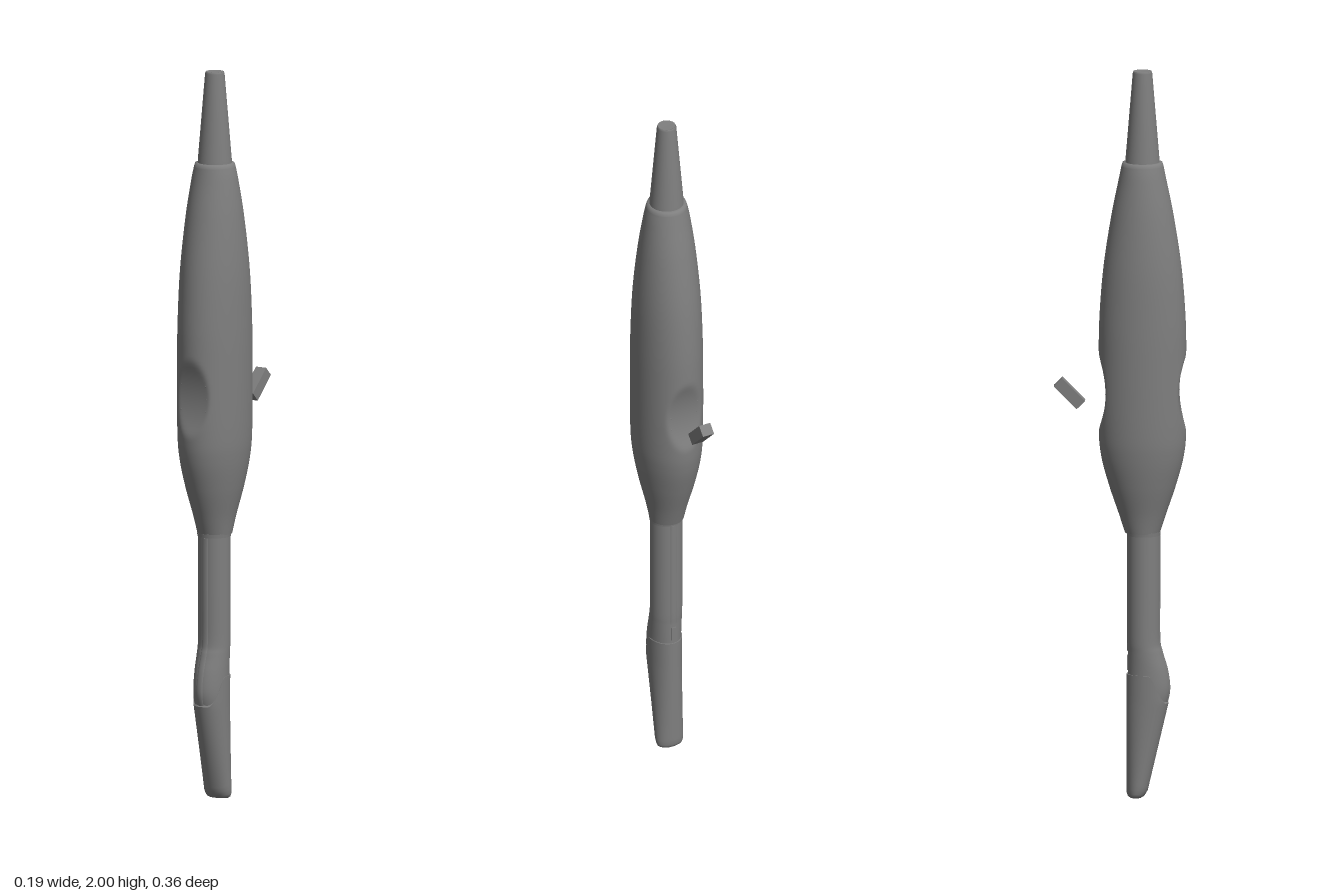
import * as THREE from 'three';

const material = new THREE.MeshStandardMaterial({ color: 0x7f7f7f, side: THREE.DoubleSide });
const AXIS_Z = 0.063;

function add(group, name, geometry, x = 0, y = 0, z = 0) {
  const mesh = new THREE.Mesh(geometry, material);
  mesh.name = name;
  mesh.position.set(x, y, z);
  group.add(mesh);
  return mesh;
}

// Skin elliptical rings [y, halfWidth, halfDepth, centreZ]; reshape(v, angle) may move each vertex.
function loft(rings, sides = 48, reshape = null) {
  const pos = [], index = [];
  const v = new THREE.Vector3();
  const ring = ([y, rx, rz, cz]) => {
    for (let i = 0; i < sides; i++) {
      const a = (i / sides) * Math.PI * 2;
      v.set(Math.sin(a) * rx, y, cz + Math.cos(a) * rz);
      if (reshape) reshape(v, a);
      pos.push(v.x, v.y, v.z);
    }
  };
  rings.forEach(ring);
  for (let r = 0; r < rings.length - 1; r++) {
    for (let i = 0; i < sides; i++) {
      const a = r * sides + i, b = r * sides + ((i + 1) % sides);
      index.push(a, b, b + sides, a, b + sides, a + sides);
    }
  }
  // flat end caps with their own vertices
  [[rings[0], false], [rings[rings.length - 1], true]].forEach(([end, top]) => {
    const base = pos.length / 3;
    ring(end);
    pos.push(0, end[0], end[3]);
    for (let i = 0; i < sides; i++) {
      const a = base + i, b = base + ((i + 1) % sides), c = base + sides;
      if (top) index.push(a, b, c);
      else index.push(b, a, c);
    }
  });
  const geo = new THREE.BufferGeometry();
  geo.setAttribute('position', new THREE.Float32BufferAttribute(pos, 3));
  geo.setIndex(index);
  geo.computeVertexNormals();
  return geo;
}

// Smooth a short list of rings into many
function smoothRings(keys, count) {
  const widths = new THREE.SplineCurve(keys.map(k => new THREE.Vector2(k[0], k[1])));
  const depths = new THREE.SplineCurve(keys.map(k => new THREE.Vector2(k[0], k[2])));
  const centres = new THREE.SplineCurve(keys.map(k => new THREE.Vector2(k[0], k[3])));
  return Array.from({ length: count + 1 }, (_, i) => {
    const t = i / count, w = widths.getPoint(t);
    return [w.x, w.y, depths.getPoint(t).y, centres.getPoint(t).y];
  });
}

export function createModel() {
  const group = new THREE.Group();

  // Handle: oval body with a softly rimmed finger rest front and back
  const BODY_Z = 0.06, REST_Y = 1.115, RIM = 0.005;
  const bodyKeys = [
    [0.73, 0.047, 0.048, BODY_Z], [0.78, 0.056, 0.064, BODY_Z], [0.86, 0.074, 0.091, BODY_Z],
    [0.94, 0.087, 0.112, BODY_Z], [1.02, 0.092, 0.119, BODY_Z], [1.2, 0.093, 0.119, BODY_Z],
    [1.32, 0.092, 0.117, BODY_Z], [1.46, 0.088, 0.106, BODY_Z], [1.6, 0.077, 0.085, BODY_Z],
    [1.7, 0.064, 0.065, BODY_Z], [1.74, 0.056, 0.057, BODY_Z]
  ];
  const restDepth = y => 0.099 + 0.021 * ((y - REST_Y) / 0.105) ** 2;
  const scoop = v => {
    const d = v.z - BODY_Z, rest = restDepth(v.y);
    const blend = Math.max(RIM - Math.abs(Math.abs(d) - rest), 0) ** 2 / (4 * RIM);
    v.z = BODY_Z + Math.sign(d) * (Math.min(Math.abs(d), rest) - blend);
  };
  const bodyRings = smoothRings(bodyKeys, 130);
  bodyRings.push([1.749, 0.053, 0.054, BODY_Z], [1.75, 0.046, 0.047, BODY_Z]);
  add(group, 'handleBody', loft(bodyRings, 120, scoop));

  // Tiny grip dots beside each finger rest
  for (const face of [-1, 1]) {
    for (const side of [-1, 1]) {
      for (const dy of [-0.035, 0, 0.035]) {
        add(group, 'gripDot', new THREE.SphereGeometry(0.002, 10, 8),
          side * 0.04, REST_Y + dy, BODY_Z + face * (restDepth(REST_Y + dy) - 0.001));
      }
    }
  }

  // Tapered cable sleeve
  const sleeve = new THREE.LatheGeometry([
    [0.047, 1.74], [0.046, 1.76], [0.0265, 1.995], [0.0245, 2], [0.0235, 2], [0.0235, 1.999], [0, 1.999]
  ].map(p => new THREE.Vector2(...p)), 48);
  add(group, 'cableSleeve', sleeve, 0, 0, BODY_Z);

  // Shaft, swelling forward into the thumb bump at its lower end
  const shaftRings = smoothRings([
    [0.22, 0.04, 0.046, 0.066], [0.26, 0.043, 0.053, 0.074], [0.3, 0.044, 0.057, 0.077],
    [0.35, 0.044, 0.054, 0.074], [0.4, 0.044, 0.047, 0.067], [0.44, 0.044, 0.044, AXIS_Z],
    [0.58, 0.044, 0.044, AXIS_Z], [0.735, 0.044, 0.044, AXIS_Z]
  ], 50);
  add(group, 'shaft', loft(shaftRings));
  add(group, 'shaftCollar', new THREE.CylinderGeometry(0.0465, 0.0455, 0.01, 48), 0, 0.727, AXIS_Z);

  // Wedge tip: its upper edge dips toward the front
  const TIP_TOP = 0.34, BACK = 0.0165;
  const frontAt = y => 0.07 + 0.062 * Math.min(y / 0.265, 1);
  const tipRings = [[0, 0.03, 0.017, 0.042], [0.004, 0.036, 0.022, 0.042], [0.012, 0.039, 0.026, 0.043]];
  for (let i = 1; i <= 24; i++) {
    const y = 0.012 + (i / 24) * (TIP_TOP - 0.012);
    tipRings.push([y, 0.04 + 0.006 * y / TIP_TOP, (frontAt(y) - BACK) / 2, (frontAt(y) + BACK) / 2]);
  }
  const slant = (v, a) => {
    const dip = 0.08 * THREE.MathUtils.smoothstep(Math.cos(a), 0, 0.9);
    const y = v.y - dip * v.y / TIP_TOP;
    // keep the sloping front face straight after lowering the edge
    if (v.y > 0.012) v.z = BACK + (v.z - BACK) * (frontAt(y) - BACK) / (frontAt(v.y) - BACK);
    v.y = y;
  };
  add(group, 'tip', loft(tipRings, 64, slant));

  // Narrow rails following the front and back of the shaft
  const rail = (face, bottom) => loft(shaftRings
    .filter(([y]) => y > bottom && y < 0.722)
    .map(([y, , rz, cz]) => [y, 0.01, 0.004, cz + face * (rz - 0.0025)]), 16);
  add(group, 'frontRail', rail(1, 0.255));
  add(group, 'backRail', rail(-1, 0.4));
  add(group, 'backLatch', new THREE.BoxGeometry(0.014, 0.04, 0.005), 0, 0.37, 0.0205);

  // Separate tilted block behind the handle
  const block = add(group, 'rearBlock', new THREE.BoxGeometry(0.034, 0.088, 0.032), 0, 1.112, -0.138);
  block.rotation.x = -Math.PI / 4;

  return group;
}
